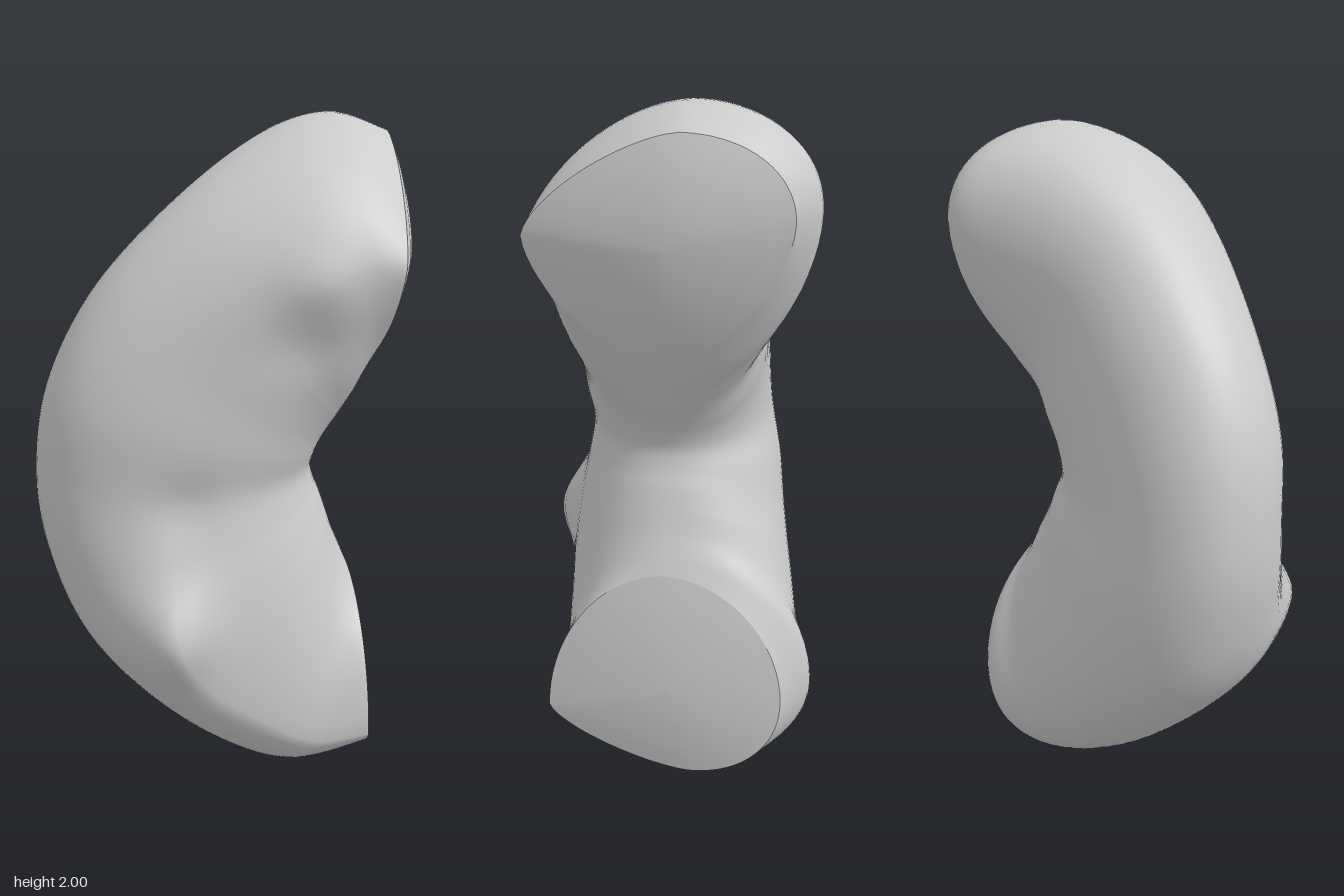
import * as THREE from 'three';

// Stations from the upper cut end, round the bend, to the lower cut end:
// outer x, y | inner x, y | front z, back z | outer ridge z | where front and back bulge (0 outer .. 1 inner)
const STATIONS = [
  [0.485, 1.95, 0.425, 1.325, 0.36, -0.35, -0.06, 0.46, 0.35],
  [0.33, 2.00, 0.39, 1.26, 0.355, -0.41, -0.07, 0.46, 0.36],
  [0.13, 1.95, 0.355, 1.20, 0.35, -0.34, -0.05, 0.45, 0.45],
  [-0.12, 1.79, 0.325, 1.15, 0.32, -0.265, 0.00, 0.45, 0.55],
  [-0.36, 1.55, 0.295, 1.10, 0.30, -0.25, 0.02, 0.5, 0.6],
  [-0.50, 1.28, 0.275, 1.055, 0.295, -0.245, 0.02, 0.5, 0.55],
  [-0.54, 1.00, 0.265, 1.01, 0.28, -0.25, 0.00, 0.48, 0.5],
  [-0.51, 0.76, 0.275, 0.96, 0.30, -0.28, 0.00, 0.42, 0.5],
  [-0.42, 0.52, 0.295, 0.91, 0.33, -0.30, 0.00, 0.32, 0.48],
  [-0.25, 0.30, 0.315, 0.85, 0.34, -0.33, -0.02, 0.27, 0.45],
  [-0.03, 0.10, 0.335, 0.79, 0.33, -0.365, -0.05, 0.3, 0.4],
  [0.17, 0.005, 0.36, 0.73, 0.325, -0.41, -0.07, 0.3, 0.4],
  [0.39, 0.05, 0.38, 0.68, 0.34, -0.335, -0.07, 0.3, 0.4],
];
const AROUND = 72, ALONG = 96;

// Smooth blend of the station values at t in 0..1
function stationAt(t) {
  const last = STATIONS.length - 1;
  const i = Math.min(Math.floor(t * last), last - 1), f = t * last - i;
  const row = (k) => STATIONS[Math.max(0, Math.min(last, k))];
  return row(i).map((b, k) => {
    const a = row(i - 1)[k], c = row(i + 1)[k], d = row(i + 2)[k];
    return b + 0.5 * f * (c - a + f * (2 * a - 5 * b + 4 * c - d + f * (3 * (b - c) + d - a)));
  });
}

// Closed section: four superelliptic arcs joining outer, front, inner and back
function section(t) {
  const [ox, oy, ix, iy, zf, zb, zo, uf, ub] = stationAt(t);
  // Full in the middle, flatter flanks towards both ends; the upper end leans
  const pFront = 2.2 - 0.8 * Math.abs(2 * t - 1) ** 1.5;
  const pInner = 2.2 - 0.6 * Math.max(0, 1 - 4 * t) - 0.3 * Math.max(0, 4 * t - 3);
  const lean = -0.07 * Math.max(0, 1 - 7 * t);
  const ring = [];
  for (let j = 0; j < AROUND; j++) {
    const a = (j / AROUND) * Math.PI * 2, c = Math.cos(a), s = Math.sin(a);
    const mid = s >= 0 ? uf : ub, ridge = c >= 0 ? zo : 0;
    const p = c < 0 ? pInner : s >= 0 ? pFront : 2.15;
    const r = (Math.abs(c) ** p + Math.abs(s) ** p) ** (-1 / p);
    const u = mid - r * c * (c >= 0 ? mid : 1 - mid);
    let z = ridge + ((s >= 0 ? zf : zb) - ridge) * r * Math.abs(s);
    const x = ox + (ix - ox) * u + lean * z, y = oy + (iy - oy) * u;
    // Knob low on the front, a shallow hollow above it and one under the upper lip
    if (s > 0) {
      const bump = (bx, by, rx, ry) => s * Math.exp(-(((x - bx) / rx) ** 2) - ((y - by) / ry) ** 2);
      z += 0.08 * bump(-0.2, 0.62, 0.12, 0.15) - 0.015 * bump(-0.16, 0.98, 0.09, 0.09)
        - 0.015 * bump(0.2, 1.44, 0.15, 0.09) + 0.015 * bump(0.2, 1.63, 0.1, 0.08);
    }
    ring.push(new THREE.Vector3(x, y, z));
  }
  return ring;
}

// Skin a list of rings
function loft(rings, name, flip = false) {
  const index = [];
  for (let i = 0; i < rings.length - 1; i++) {
    for (let j = 0; j < AROUND; j++) {
      const k = (j + 1) % AROUND;
      const a = i * AROUND + j, b = i * AROUND + k, c = a + AROUND, d = b + AROUND;
      if (flip) index.push(a, b, c, b, d, c);
      else index.push(a, c, b, b, c, d);
    }
  }
  const geometry = new THREE.BufferGeometry().setFromPoints(rings.flat());
  geometry.setIndex(index);
  geometry.computeVertexNormals();
  const mesh = new THREE.Mesh(geometry, new THREE.MeshStandardMaterial({ color: 0xcccccc }));
  mesh.name = name;
  return mesh;
}

// Cut face: rings shrinking to the middle, bulging slightly along +x
function cutFace(ring, bulge, name, flip) {
  const centre = ring.reduce((sum, p) => sum.add(p), new THREE.Vector3()).divideScalar(AROUND);
  const rings = [1, 0.85, 0.65, 0.4, 0.2, 0.001].map((k) => ring.map((p) => {
    const q = centre.clone().lerp(p, k);
    q.x += bulge * (1 - k * k);
    return q;
  }));
  return loft(rings, name, flip);
}

export function createModel() {
  const group = new THREE.Group();
  group.name = 'curvedBody';
  const rings = [];
  for (let i = 0; i <= ALONG; i++) rings.push(section(i / ALONG));
  group.add(loft(rings, 'bentBody'));
  group.add(cutFace(rings[0], 0.075, 'upperCutFace', true));
  group.add(cutFace(rings[ALONG], 0.035, 'lowerCutFace', false));
  return group;
}
